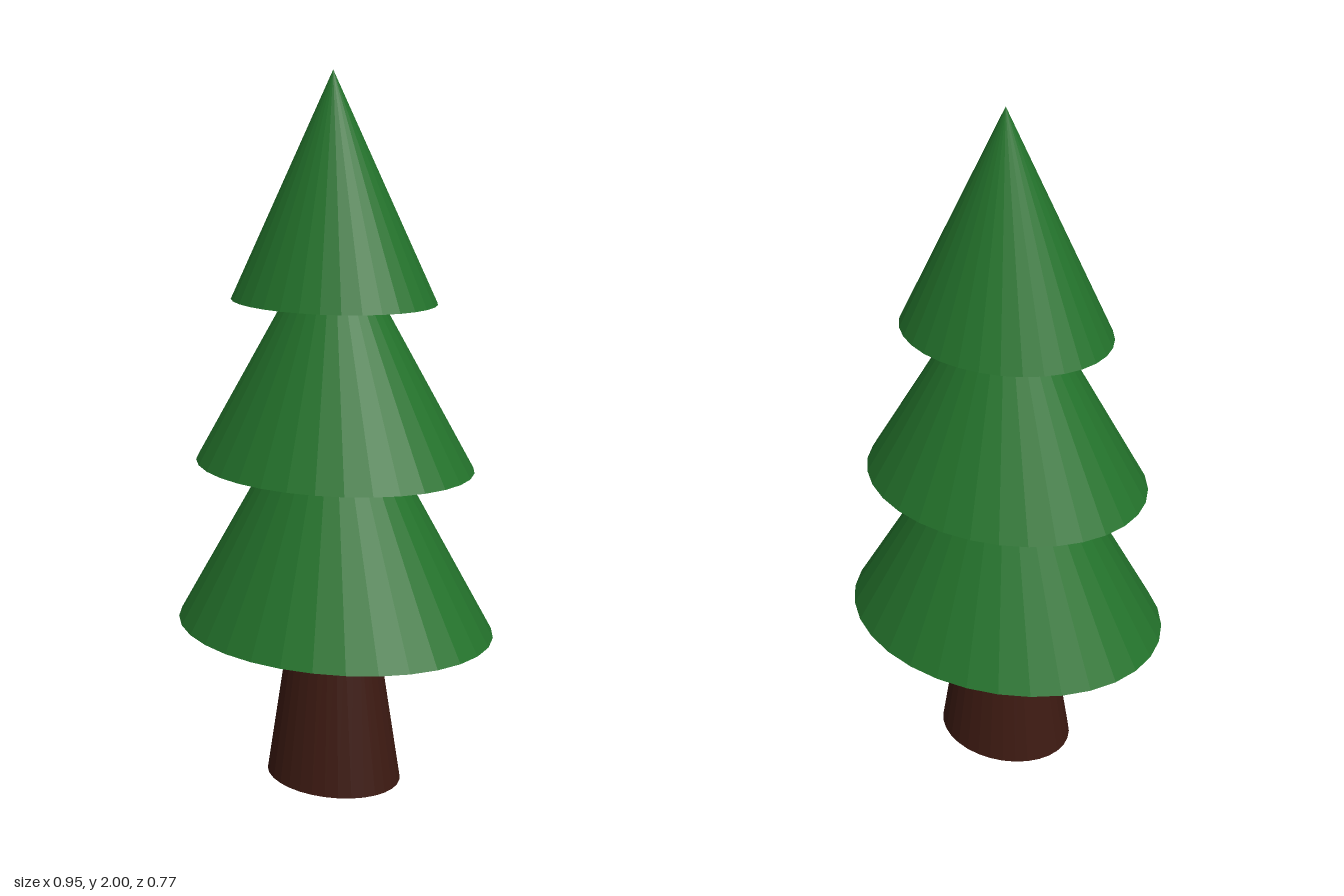
import * as THREE from 'three';

const SIDES = 32;

// Elliptical frustum: radii are along x, depth is the z/x ratio
function taperedPart(name, color, bottomY, topY, bottomRadius, topRadius, depth) {
  const height = topY - bottomY;
  const geometry = new THREE.CylinderGeometry(topRadius, bottomRadius, height, SIDES);
  geometry.scale(1, 1, depth);
  geometry.translate(0, bottomY + height / 2, 0);
  const mesh = new THREE.Mesh(
    geometry,
    new THREE.MeshStandardMaterial({ color, flatShading: true })
  );
  mesh.name = name;
  return mesh;
}

export function createModel() {
  const tree = new THREE.Group();
  tree.name = 'pineTree';

  // Trunk, ending at the underside of the lowest tier
  tree.add(taperedPart('trunk', 0x3d1a12, 0, 0.465, 0.205, 0.13, 0.81));

  // Three overlapping cones of foliage
  const tiers = [
    ['lowerFoliage', 0.462, 1.27, 0.475],
    ['middleFoliage', 0.93, 1.63, 0.412],
    ['upperFoliage', 1.387, 2, 0.3],
  ];
  for (const [name, bottom, top, radius] of tiers) {
    tree.add(taperedPart(name, 0x23722b, bottom, top, radius, 0, 0.808));
  }
  return tree;
}
